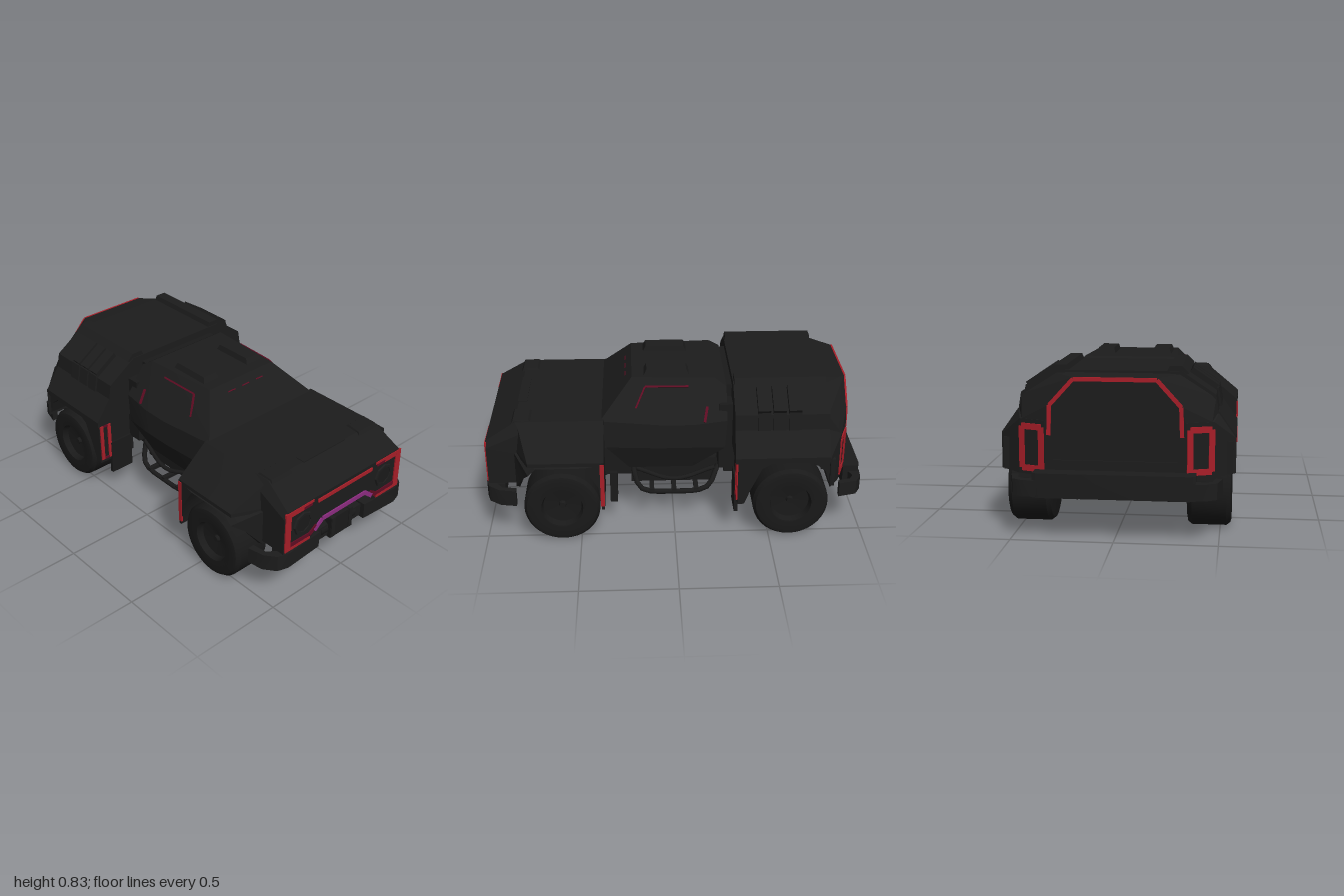
import * as THREE from 'three';
import { toCreasedNormals } from 'three/addons/utils/BufferGeometryUtils.js';
import { ConvexGeometry } from 'three/addons/geometries/ConvexGeometry.js';

const V = (p) => new THREE.Vector3(...p);
const mat = (name, color) => Object.assign(new THREE.MeshStandardMaterial({ color }), { name });

export function createModel() {
  const car = new THREE.Group();
  car.name = 'armouredTruck';
  const body = mat('body black', 0x1c1c1c);
  const rubber = mat('tyre black', 0x191919);
  const metal = mat('chassis black', 0x1a1a1a);
  const red = mat('red trim', 0xa81e28);
  const darkRed = mat('dark red trim', 0x5e0c22);
  const purple = mat('purple trim', 0x8c2c80);

  // Turns faces outward after mirroring, keeps hard edges sharp
  function add(name, geo, material, crease = 0.5) {
    const g = geo.index ? geo.toNonIndexed() : geo;
    const p = g.attributes.position;
    const a = new THREE.Vector3(), b = new THREE.Vector3(), c = new THREE.Vector3();
    let volume = 0;
    for (let i = 0; i < p.count; i += 3) {
      a.fromBufferAttribute(p, i); b.fromBufferAttribute(p, i + 1); c.fromBufferAttribute(p, i + 2);
      volume += a.dot(b.cross(c));
    }
    if (volume < 0) for (let i = 0; i < p.count; i += 3) {
      b.fromBufferAttribute(p, i + 1); c.fromBufferAttribute(p, i + 2);
      p.setXYZ(i + 1, c.x, c.y, c.z); p.setXYZ(i + 2, b.x, b.y, b.z);
    }
    const mesh = new THREE.Mesh(toCreasedNormals(g, crease), material);
    mesh.name = name;
    car.add(mesh);
  }
  const box = (name, w, h, d, x, y, z, m = body) =>
    add(name, new THREE.BoxGeometry(w, h, d).translate(x, y, z), m);
  // Convex solid, optionally mirrored across the centre
  const hull = (name, pts, mirror = true) =>
    add(name, new ConvexGeometry([...pts, ...(mirror ? pts.map(([x, y, z]) => [-x, y, z]) : [])].map(V)), body, 0.15);
  // Flat bar from a to b, lying on a surface with normal n
  function bar(name, a, b, w, t, n, m) {
    const A = V(a), B = V(b), dir = B.clone().sub(A), len = dir.length();
    dir.normalize();
    const side = V(n).cross(dir).normalize(), up = dir.clone().cross(side);
    const mx = new THREE.Matrix4().makeBasis(dir, side, up).setPosition(A.add(B).multiplyScalar(0.5));
    add(name, new THREE.BoxGeometry(len, w, t).applyMatrix4(mx), m);
  }
  const trim = (name, pts, w, n, m, t = 0.009) => {
    for (let i = 1; i < pts.length; i++) bar(name, pts[i - 1], pts[i], w, t, n, m);
  };
  const tube = (name, pts, r) =>
    add(name, new THREE.TubeGeometry(new THREE.CatmullRomCurve3(pts.map(V)), 14, r, 8), metal, 0.9);
  const extrude = (pts, depth) => new THREE.ExtrudeGeometry(
    new THREE.Shape(pts.map((p) => new THREE.Vector2(...p))), { depth, bevelEnabled: false });
  const plan = (name, pts, bottom, top, s = 1) =>
    add(name, extrude(pts, top - bottom).rotateX(Math.PI / 2).translate(0, top, 0).scale(s, 1, 1), body);
  const sideProfile = (pts, inner, outer) =>
    extrude(pts, outer - inner).rotateY(-Math.PI / 2).scale(-1, 1, 1).translate(inner, 0, 0);
  const rod = (name, r, len, x, y, z, axis) => {
    const g = new THREE.CylinderGeometry(r, r, len, 16);
    if (axis === 'x') g.rotateZ(Math.PI / 2);
    if (axis === 'z') g.rotateX(Math.PI / 2);
    add(name, g.translate(x, y, z), metal);
  };

  // Bonnet and nose
  hull('bonnet', [[0.39, 0.63, 0.37], [0.57, 0.48, 0.37], [0.57, 0.46, 0.37], [0.39, 0.63, 0.74],
    [0.57, 0.48, 0.76], [0.57, 0.46, 0.76], [0.39, 0.62, 0.82], [0.43, 0.48, 0.825], [0.43, 0.46, 0.825]]);
  hull('noseTop', [[0.39, 0.63, 0.72], [0.39, 0.63, 0.83], [0.425, 0.58, 0.8], [0.43, 0.46, 0.8],
    [0.41, 0.535, 0.987], [0.43, 0.5, 0.985], [0.43, 0.46, 0.985]]);
  add('nose', extrude([[-0.43, 0.29], [-0.24, 0.29], [-0.16, 0.37], [0.16, 0.37], [0.24, 0.29],
    [0.43, 0.29], [0.43, 0.47], [-0.43, 0.47]], 0.165).translate(0, 0, 0.82), body);
  box('bonnetVent', 0.3, 0.01, 0.05, 0, 0.628, 0.81);
  box('frontCore', 0.6, 0.2, 0.47, 0, 0.37, 0.6, metal);
  trim('grilleTopTrim', [[-0.2, 0.505, 0.988], [0.2, 0.505, 0.988]], 0.02, [0, 0, 1], red);
  trim('grillePurpleTrim', [[-0.215, 0.33, 0.988], [-0.16, 0.376, 0.988], [0.16, 0.376, 0.988], [0.215, 0.33, 0.988]],
    0.024, [0, 0, 1], purple);

  // Cabin
  hull('cabin', [[0.36, 0.33, 0.24], [0.36, 0.33, -0.1], [0.39, 0.47, 0.36], [0.41, 0.47, 0.08], [0.41, 0.47, -0.1],
    [0.38, 0.42, -0.2], [0.38, 0.45, -0.27], [0.38, 0.62, 0.39], [0.4, 0.6, 0.05], [0.4, 0.6, -0.1], [0.38, 0.61, -0.28],
    [0.225, 0.8, 0.22], [0.25, 0.8, -0.22], [0.27, 0.76, -0.28]]);
  box('cabinRearJoint', 0.7, 0.38, 0.1, 0, 0.5, -0.29, metal);
  box('cabinRearUpperJoint', 0.5, 0.12, 0.08, 0, 0.7, -0.29, metal);
  for (const x of [-0.1, 0, 0.1])
    trim('windscreenTrim', [[x - 0.025, 0.764, 0.254], [x + 0.025, 0.764, 0.254]], 0.006, [0, 0.7, 0.72], darkRed, 0.006);

  // Rear box and faceted tail
  hull('rearBoxRoof', [-0.31, -0.8].flatMap((z) => [[0.24, 0.8, z], [0.31, 0.8, z], [0.475, 0.69, z], [0.49, 0.6, z]]));
  hull('rearBoxLower', [-0.31, -0.8].flatMap((z) => [[0.49, 0.61, z], [0.575, 0.49, z], [0.575, 0.46, z]]));
  hull('tailUpper', [[0.24, 0.79, -0.79], [0.31, 0.785, -0.79], [0.475, 0.68, -0.79], [0.49, 0.58, -0.79],
    [0.2, 0.78, -0.915], [0.32, 0.645, -0.915], [0.34, 0.55, -0.915], [0.46, 0.57, -0.87]]);
  hull('tailLower', [[0.49, 0.6, -0.8], [0.575, 0.48, -0.8], [0.575, 0.31, -0.805], [0.47, 0.57, -0.867],
    [0.475, 0.3, -0.867], [0.34, 0.57, -0.915], [0.34, 0.3, -0.915]]);
  box('rearCore', 0.6, 0.2, 0.5, 0, 0.38, -0.56, metal);
  trim('tailgateTrim', [[-0.32, 0.5, -0.917], [-0.315, 0.645, -0.917], [-0.2, 0.772, -0.917],
    [0.2, 0.772, -0.917], [0.315, 0.645, -0.917], [0.32, 0.5, -0.917]], 0.02, [0, 0, -1], red);
  box('tailgateStep', 0.6, 0.04, 0.015, 0, 0.36, -0.918);

  // Straight bumper parts
  plan('rearBumper', [[-0.39, -0.91], [-0.39, -0.99], [-0.36, -1], [0.36, -1], [0.39, -0.99], [0.39, -0.91]], 0.21, 0.33);
  box('frontBumperBeam', 0.84, 0.07, 0.06, 0, 0.245, 0.93);

  for (const s of [1, -1]) {
    const flip = ([x, y, z]) => [s * x, y, z];
    // Fenders with cut wheel arches
    const front = sideProfile([[0.37, 0.47], [0.37, 0.2], [0.385, 0.2], [0.4, 0.33], [0.47, 0.45], [0.72, 0.45], [0.76, 0.41],
      [0.79, 0.36], [0.82, 0.27], [0.84, 0.27], [0.84, 0.47]], 0.33, 0.57);
    const p = front.attributes.position;
    for (let i = 0; i < p.count; i++)
      if (p.getX(i) > 0.5 && p.getZ(i) > 0.765) p.setX(i, Math.max(0.43, 0.57 - (p.getZ(i) - 0.76) * 2.2));
    add('frontFender', front.scale(s, 1, 1), body);
    add('rearFender', sideProfile([[-0.325, 0.47], [-0.325, 0.21], [-0.36, 0.21], [-0.395, 0.3], [-0.45, 0.42], [-0.5, 0.45],
      [-0.72, 0.45], [-0.78, 0.4], [-0.81, 0.31], [-0.83, 0.31], [-0.83, 0.47]], 0.33, 0.56).scale(s, 1, 1), body);
    box('frontFenderTrim', 0.009, 0.25, 0.022, s * 0.569, 0.345, 0.38, red);
    for (const x of [0.495, 0.545])
      trim('rearFenderTrim', [[s * x, 0.23, -0.322], [s * x, 0.45, -0.322]], 0.02, [0, 0, 1], red);
    for (const y of [0.235, 0.445])
      trim('rearFenderTrimEnd', [[s * 0.505, y, -0.322], [s * 0.535, y, -0.322]], 0.012, [0, 0, 1], darkRed);

    // Headlamp, its frame and the raised pod above
    trim('headlampTrim', [[s * 0.3, 0.516, 0.986], [s * 0.425, 0.516, 0.986]], 0.03, [0, 0, 1], red);
    trim('headlampInnerTrim', [[s * 0.23, 0.524, 0.986], [s * 0.3, 0.524, 0.986]], 0.014, [0, 0, 1], red);
    trim('headlampInnerShade', [[s * 0.24, 0.509, 0.986], [s * 0.3, 0.509, 0.986]], 0.016, [0, 0, 1], darkRed);
    trim('headlampSideTrim', [[s * 0.406, 0.53, 0.987], [s * 0.406, 0.3, 0.987]], 0.038, [0, 0, 1], red);
    trim('headlampLowerShade', [[s * 0.39, 0.326, 0.986], [s * 0.25, 0.322, 0.986], [s * 0.2, 0.355, 0.986]], 0.026, [0, 0, 1], darkRed);
    trim('headlampLowerTrim', [[s * 0.425, 0.307, 0.988], [s * 0.25, 0.307, 0.988]], 0.016, [0, 0, 1], red);
    add('headlampRing', new THREE.TorusGeometry(0.056, 0.012, 6, 8).translate(s * 0.3, 0.42, 0.983), body);
    rod('headlampLens', 0.05, 0.01, s * 0.3, 0.42, 0.985, 'z');
    hull('bonnetPod', [[0.25, 0.62, 0.74], [0.39, 0.62, 0.74], [0.24, 0.6, 0.86], [0.39, 0.6, 0.86], [0.26, 0.64, 0.76],
      [0.38, 0.64, 0.76], [0.25, 0.637, 0.84], [0.38, 0.637, 0.84]].map(flip), false);

    // Roof hatch and side window trim
    hull('roofHatch', [[0.1, 0.79, 0.16], [0.21, 0.79, 0.16], [0.1, 0.79, -0.09], [0.21, 0.79, -0.09], [0.11, 0.83, 0.14],
      [0.195, 0.83, 0.14], [0.11, 0.83, -0.07], [0.195, 0.83, -0.07]].map(flip), false);
    const glass = [s * 0.78, 0.62, 0];
    trim('windowTrim', [[s * 0.34, 0.673, 0.2], [s * 0.272, 0.765, 0.15], [s * 0.279, 0.767, -0.08]], 0.009, glass, darkRed);
    trim('windowRearTrim', [[s * 0.391, 0.61, -0.16], [s * 0.343, 0.677, -0.175]], 0.014, glass, darkRed);

    // Raised shoulder rail and three rib plates on the rear box
    hull('shoulderRail', [-0.315, -0.795].flatMap((z) => [[0.235, 0.79, z], [0.25, 0.825, z], [0.31, 0.825, z],
      [0.345, 0.79, z], [0.3, 0.77, z]]).map(flip), false);
    for (const z of [-0.46, -0.54, -0.62]) {
      bar('shoulderRib', [s * 0.345, 0.785, z], [s * 0.472, 0.7, z], 0.066, 0.04, [s * 0.55, 0.83, 0], body);
      bar('sideRib', [s * 0.472, 0.7, z], [s * 0.488, 0.61, z], 0.066, 0.025, [s * 0.98, 0.18, 0], body);
    }

    // Tail lamp frame on the angled corner
    const q = (t, y) => [s * (0.345 + 0.13 * t), y, -0.916 + 0.049 * t];
    trim('tailLampTrim', [q(0.1, 0.33), q(0.1, 0.535), q(0.88, 0.535), q(0.88, 0.33), q(0.1, 0.33)], 0.03, [s * 0.35, 0, -0.93], red);

    // Bumper ends curl back around the corners
    plan('frontBumper', [[0.17, 0.92], [0.17, 0.985], [0.4, 0.998], [0.46, 0.98], [0.505, 0.92], [0.52, 0.835], [0.485, 0.835],
      [0.475, 0.91], [0.43, 0.945]], 0.2, 0.29, s);
    plan('rearBumperEnd', [[0.37, -0.93], [0.37, -1], [0.44, -0.995], [0.49, -0.965], [0.515, -0.87], [0.48, -0.87],
      [0.465, -0.935], [0.43, -0.955]], 0.215, 0.295, s);

    // Wheels
    for (const z of [0.595, -0.61]) {
      const profile = [[0, -0.1], [0.16, -0.11], [0.185, -0.105], [0.2, -0.085], [0.2, 0.085], [0.185, 0.105], [0.165, 0.11],
        [0.11, 0.105], [0.1, 0.07], [0.02, 0.06], [0.015, 0.075], [0, 0.075]].map((c) => new THREE.Vector2(...c));
      add('wheel', new THREE.LatheGeometry(profile, 36).rotateZ(-Math.PI / 2).scale(s, 1, 1).translate(s * 0.446, 0.2, z), rubber);
      rod('shockAbsorber', 0.035, 0.24, s * 0.27, 0.23, z + 0.08, 'y');
      rod('springMount', 0.035, 0.08, s * 0.27, 0.14, z, 'x');
      tube('controlArm', [[s * 0.3, 0.18, z], [s * 0.22, 0.19, z * 0.75], [s * 0.16, 0.22, z * 0.5]], 0.018);
    }

    // Chassis rail, side step and mud flaps
    box('chassisRail', 0.06, 0.08, 1.74, s * 0.2, 0.28, 0, metal);
    tube('sideStep', [[s * 0.3, 0.3, 0.22], [s * 0.36, 0.2, 0.18], [s * 0.37, 0.18, 0], [s * 0.36, 0.2, -0.18], [s * 0.3, 0.3, -0.24]], 0.014);
    tube('upperStepRail', [[s * 0.32, 0.3, 0.2], [s * 0.36, 0.255, 0], [s * 0.32, 0.3, -0.22]], 0.012);
    for (const z of [-0.12, 0, 0.12]) box('stepBracket', 0.16, 0.02, 0.025, s * 0.3, 0.19, z, metal);
    box('frontMudFlap', 0.1, 0.18, 0.04, s * 0.335, 0.22, 0.325, metal);
    box('rearMudFlap', 0.14, 0.2, 0.02, s * 0.42, 0.22, -0.325, metal);
    box('sideSill', 0.06, 0.16, 0.14, s * 0.33, 0.37, 0.3, metal);
    rod('exhaust', 0.03, 0.4, s * 0.12, 0.23, -0.2, 'z');
  }

  // Running gear under the floor
  for (const z of [0.595, -0.61]) {
    rod('axle', 0.035, 0.7, 0, 0.2, z, 'x');
    add('differential', new THREE.SphereGeometry(0.09, 16, 10).scale(1.15, 0.9, 1).translate(0, 0.21, z), metal, 0.9);
  }
  box('bellyPlate', 0.58, 0.14, 0.46, 0, 0.27, 0, metal);
  box('gearbox', 0.18, 0.12, 0.3, 0, 0.23, 0.05, metal);
  rod('driveShaft', 0.022, 1.1, 0, 0.22, 0, 'z');
  for (const z of [0.82, 0.38, -0.3, -0.84]) box('crossMember', 0.56, 0.05, 0.05, 0, 0.27, z, metal);
  // Winch between the bumper halves
  box('winchHousing', 0.16, 0.12, 0.1, 0, 0.26, 0.93, metal);
  rod('winchDrum', 0.045, 0.26, 0, 0.25, 0.92, 'x');
  for (const s of [1, -1]) box('winchCheek', 0.025, 0.12, 0.06, s * 0.065, 0.265, 0.955);
  return car;
}
